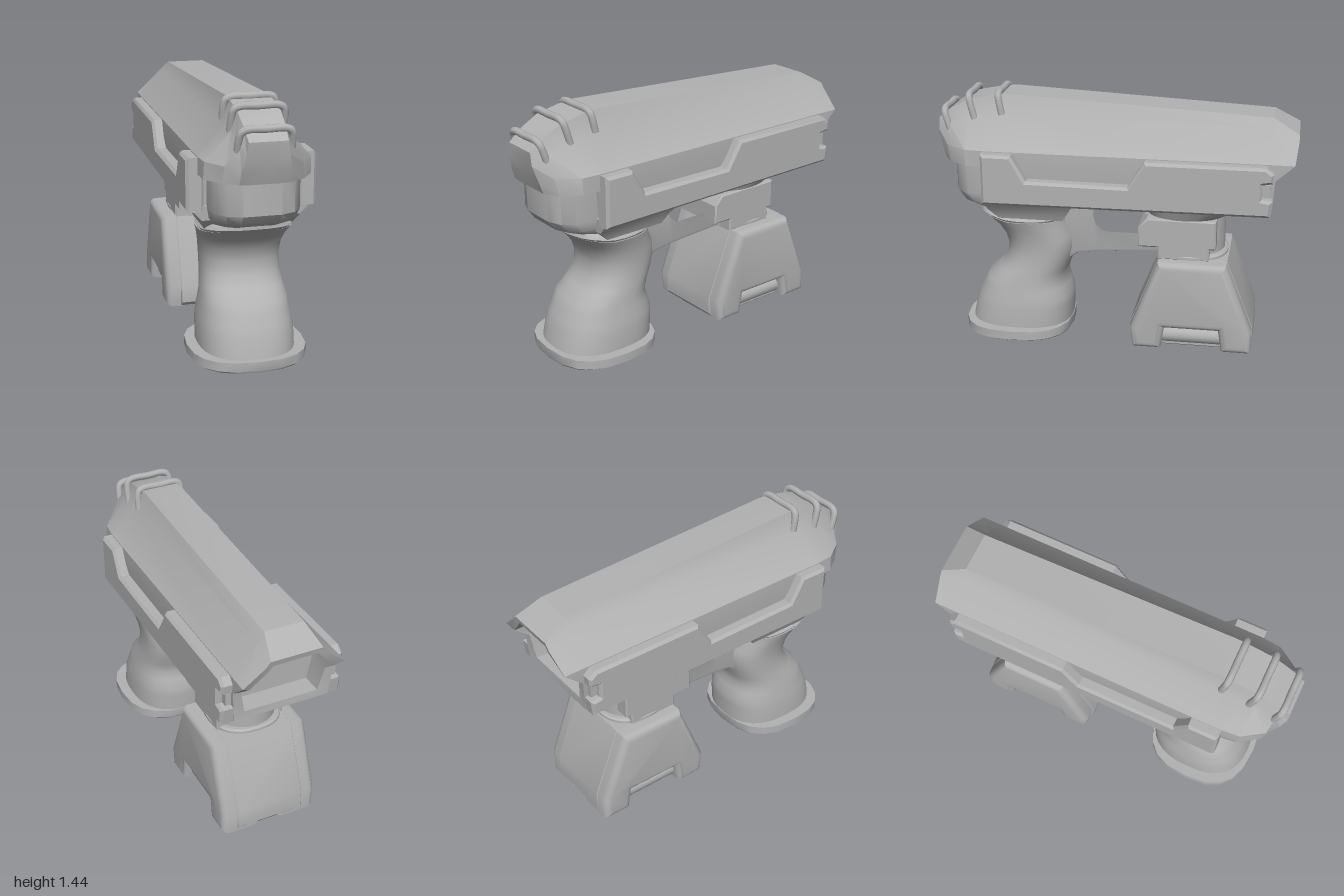
import * as THREE from 'three';
import { toCreasedNormals } from 'three/addons/utils/BufferGeometryUtils.js';

const grey = new THREE.MeshStandardMaterial({ color: 0xb2b2b2 });

// Closed skin through rings of [x, y, z] points, capped at both ends
function loft(rings, crease = 0.6) {
  const tris = [];
  const n = rings[0].length;
  for (let r = 0; r < rings.length - 1; r++) {
    for (let i = 0; i < n; i++) {
      const j = (i + 1) % n;
      const a = rings[r][i], b = rings[r][j], c = rings[r + 1][j], d = rings[r + 1][i];
      tris.push([a, b, c], [a, c, d]);
    }
  }
  const cap = (ring, flip) => {
    const mid = [0, 1, 2].map(k => ring.reduce((s, p) => s + p[k], 0) / n);
    ring.forEach((p, i) => {
      const q = ring[(i + 1) % n];
      tris.push(flip ? [mid, q, p] : [mid, p, q]);
    });
  };
  cap(rings[0], true);
  cap(rings[rings.length - 1], false);
  // Turn the skin outwards if its signed volume is negative
  const volume = tris.reduce((s, [a, b, c]) => s
    + a[0] * (b[1] * c[2] - b[2] * c[1])
    + a[1] * (b[2] * c[0] - b[0] * c[2])
    + a[2] * (b[0] * c[1] - b[1] * c[0]), 0);
  if (volume < 0) tris.forEach(t => t.reverse());
  const g = new THREE.BufferGeometry();
  g.setAttribute('position', new THREE.Float32BufferAttribute(tris.flat(2), 3));
  return toCreasedNormals(g, crease);
}

// Mirrors the +x half of a ring
const mirrorRing = half => [...half, ...half.slice().reverse().map(([x, y, z]) => [-x, y, z])];

// Rounded horizontal ring between two z limits; power 2 is an ellipse, more is boxier
function ovalRing(y, zFront, zBack, halfWidth, power = 2.4, lift = 0, n = 32) {
  const ring = [];
  const soft = v => Math.sign(v) * Math.abs(v) ** (2 / power);
  for (let i = 0; i < n; i++) {
    const a = (i / n) * Math.PI * 2;
    const z = (zFront + zBack) / 2 + soft(Math.cos(a)) * (zFront - zBack) / 2;
    ring.push([soft(Math.sin(a)) * halfWidth, y + lift * Math.max(0, z - 0.58), z]);
  }
  return ring;
}

// Side outline of [z, y] points, given a thickness from x0 to x1
function sidePlate(points, x0, x1, bevel = 0, hole = null, segments = 1) {
  const toPts = list => list.map(p => new THREE.Vector2(...p));
  const shape = new THREE.Shape(toPts(points));
  if (hole) shape.holes.push(new THREE.Path(toPts(hole)));
  const g = new THREE.ExtrudeGeometry(shape, {
    depth: x1 - x0 - 2 * bevel, bevelEnabled: bevel > 0, bevelSize: bevel,
    bevelThickness: bevel, bevelOffset: -bevel, bevelSegments: segments,
  });
  g.translate(0, 0, bevel - x1).rotateY(-Math.PI / 2);
  return toCreasedNormals(g, 0.6);
}

export function createModel() {
  const model = new THREE.Group();
  const add = (name, geometry) => {
    const mesh = new THREE.Mesh(geometry, grey);
    mesh.name = name;
    model.add(mesh);
    return mesh;
  };

  // Upper housing, rounded nose to hollow rear
  const section = (z, top, bottom) => [
    [0.11, top, z], [0.145, 1.29, z], [0.285, 1.13, z], [0.287, 1.04, z], [0.27, bottom, z]];
  add('upperHousing', loft([
    [[0.1, 1.26, 1], [0.11, 1.19, 1], [0.13, 1.1, 0.975], [0.135, 1.04, 0.955], [0.1, 1.035, 0.95]],
    [[0.105, 1.32, 0.925], [0.13, 1.25, 0.94], [0.2, 1.13, 0.925], [0.21, 1.04, 0.91], [0.1, 1.035, 0.91]],
    [[0.11, 1.375, 0.82], [0.14, 1.28, 0.82], [0.275, 1.13, 0.81], [0.28, 1.04, 0.81], [0.1, 1.035, 0.81]],
    section(0.7, 1.4, 1.035),
    section(0.69, 1.402, 0.85),
    section(0.6, 1.412, 0.85),
    section(-0.86, 1.34, 0.85),
    [[0.145, 1.26, -1], [0.17, 1.23, -1], [0.285, 1.13, -0.985], [0.287, 1.04, -0.885], [0.27, 0.85, -0.87]],
    [[0.125, 1.225, -0.99], [0.145, 1.2, -0.99], [0.24, 1.1, -0.965], [0.24, 1.03, -0.88], [0.21, 0.89, -0.865]],
    [[0.125, 1.225, -0.75], [0.145, 1.2, -0.75], [0.24, 1.1, -0.75], [0.24, 1.03, -0.75], [0.21, 0.89, -0.75]],
  ].map(mirrorRing), 0.45));

  // Three ribs wrapped over the nose: top [y, z] and lower end [y, z]
  [[1.415, 0.652, 1.3, 0.63], [1.4, 0.82, 1.27, 0.785], [1.315, 0.962, 1.18, 0.92]]
    .forEach(([yt, zt, yb, zb], i) => {
      const mid = t => [yt + (yb - yt) * t, zt + (zb - zt) * t];
      const half = [[0, yt, zt], [0.1, yt, zt], [0.127, ...mid(0.12)],
        [0.135, ...mid(0.4)], [0.138, ...mid(1)]];
      const path = [...half.slice(1).reverse().map(([x, y, z]) => [-x, y, z]), ...half];
      const curve = new THREE.CatmullRomCurve3(path.map(p => new THREE.Vector3(...p)), false, 'centripetal');
      add('noseRib' + (i + 1), new THREE.TubeGeometry(curve, 40, 0.02, 8));
    });

  // Rounded lower front of the frame
  const frameRing = (y, front, w) => mirrorRing([
    [0.1, y, front], [w - 0.06, y, front - 0.03], [w - 0.015, y, front - 0.09],
    [w, y, front - 0.2], [w, y, 0.28]]);
  add('frameFront', loft([
    frameRing(1.06, 0.91, 0.235), frameRing(0.86, 0.91, 0.235),
    frameRing(0.805, 0.87, 0.23), frameRing(0.765, 0.78, 0.215)]));

  // Tapered underside above the grip
  const boxRing = (y, w, z0, z1) => [[w, y, z0], [w, y, z1], [-w, y, z1], [-w, y, z0]];
  add('frameUnderside', loft([
    boxRing(0.87, 0.335, 0.2, 0.705), boxRing(0.79, 0.262, 0.24, 0.7), boxRing(0.73, 0.238, 0.28, 0.64)]));

  // Stepped side panels with a notch at the rear
  const panel = [[0.71, 0.84], [0.71, 1.125], [0.54, 1.125], [0.46, 0.985], [-0.1, 0.98], [-0.19, 1.125],
    [-0.84, 1.125], [-0.88, 1.09], [-0.875, 1.04], [-0.82, 1.03], [-0.82, 0.95], [-0.875, 0.94], [-0.865, 0.85]];
  add('leftPanel', sidePlate(panel, 0.25, 0.345, 0.015));
  add('rightPanel', sidePlate(panel, -0.345, -0.25, 0.015));
  for (const s of [-1, 1]) {
    const latch = add(s > 0 ? 'leftRearLatch' : 'rightRearLatch', new THREE.BoxGeometry(0.03, 0.07, 0.05));
    latch.position.set(s * 0.3, 0.99, -0.835);
  }

  // Grip: y, front z, back z, half width, lift towards the front
  const gripRows = [
    [0.05, 0.86, 0.27, 0.258], [0.17, 0.835, 0.265, 0.257], [0.22, 0.815, 0.265, 0.25],
    [0.28, 0.785, 0.285, 0.24], [0.33, 0.76, 0.3, 0.232], [0.39, 0.69, 0.285, 0.222],
    [0.45, 0.645, 0.26, 0.215], [0.53, 0.632, 0.24, 0.215], [0.6, 0.65, 0.245, 0.222],
    [0.66, 0.69, 0.275, 0.236], [0.705, 0.765, 0.28, 0.252, 0.15]];
  add('grip', loft(gripRows.map(([y, f, b, w, l]) => ovalRing(y, f, b, w, 2.5, l)), 1));
  add('gripCollar', loft([
    ovalRing(0.69, 0.74, 0.29, 0.235, 2.5, 0.15), ovalRing(0.715, 0.79, 0.27, 0.25, 2.5, 0.17),
    ovalRing(0.735, 0.79, 0.27, 0.235, 2.5, 0.17), ovalRing(0.76, 0.77, 0.28, 0.21, 2.5, 0.1)]));
  add('gripBase', loft([
    ovalRing(0.005, 0.885, 0.27, 0.3, 2.6, 0, 20), ovalRing(0.015, 0.89, 0.265, 0.318, 2.6, 0, 20),
    ovalRing(0.065, 0.89, 0.265, 0.318, 2.6, 0, 20)]));

  // Trigger and guard around the finger opening
  add('triggerGuard', sidePlate(
    [[0.38, 0.42], [0.27, 0.45], [0.22, 0.485], [0.1, 0.502], [-0.25, 0.52], [-0.5, 0.52], [-0.5, 0.88], [0.38, 0.88]],
    -0.1, 0.1, 0.02,
    [[0.045, 0.61], [-0.16, 0.61], [-0.19, 0.66], [-0.2, 0.74], [-0.17, 0.8], [-0.11, 0.855],
      [0.1, 0.855], [0.14, 0.8], [0.15, 0.72], [0.13, 0.66], [0.09, 0.62]], 2));

  // Flared mount, post and clamp of the battery
  add('batteryMount', loft([
    ovalRing(0.87, -0.12, -0.82, 0.26, 2.3), ovalRing(0.82, -0.14, -0.75, 0.235, 2.3),
    ovalRing(0.755, -0.17, -0.62, 0.2, 2.3)], 0.9));
  const post = add('batteryPost', new THREE.CylinderGeometry(0.185, 0.185, 0.3, 32));
  post.position.set(0, 0.65, -0.43);
  add('batteryClamp', sidePlate(
    [[-0.14, 0.59], [-0.14, 0.7], [-0.19, 0.757], [-0.575, 0.757], [-0.575, 0.59],
      [-0.54, 0.59], [-0.54, 0.52], [-0.25, 0.52], [-0.25, 0.59]], -0.2, 0.2, 0.008));
  add('postRing', loft([
    ovalRing(0.515, -0.23, -0.635, 0.205), ovalRing(0.54, -0.23, -0.635, 0.205),
    ovalRing(0.55, -0.24, -0.625, 0.195)]));

  // Battery: centre strip between two rounded, notched side shells
  add('batteryCore', sidePlate(
    [[-0.258, 0.527], [-0.642, 0.527], [-0.794, 0.14], [-0.794, 0.03], [-0.77, 0],
      [-0.125, 0], [-0.101, 0.03], [-0.101, 0.13]], -0.2, 0.2, 0.006));
  const shell = [[-0.26, 0.525], [-0.64, 0.525], [-0.79, 0.14], [-0.79, 0.003], [-0.625, 0.003],
    [-0.605, 0.13], [-0.3, 0.13], [-0.28, 0.003], [-0.12, 0.003], [-0.105, 0.13]];
  add('batteryLeftShell', sidePlate(shell, 0.04, 0.285, 0.04, null, 4));
  add('batteryRightShell', sidePlate(shell, -0.285, -0.04, 0.04, null, 4));
  // Curved catch inside each notch
  for (const s of [-1, 1]) {
    const catchBar = add(s > 0 ? 'leftCatch' : 'rightCatch', new THREE.CylinderGeometry(0.05, 0.05, 0.33, 16));
    catchBar.rotation.x = Math.PI / 2;
    catchBar.position.set(s * 0.19, 0.07, -0.452);
  }
  return model;
}
